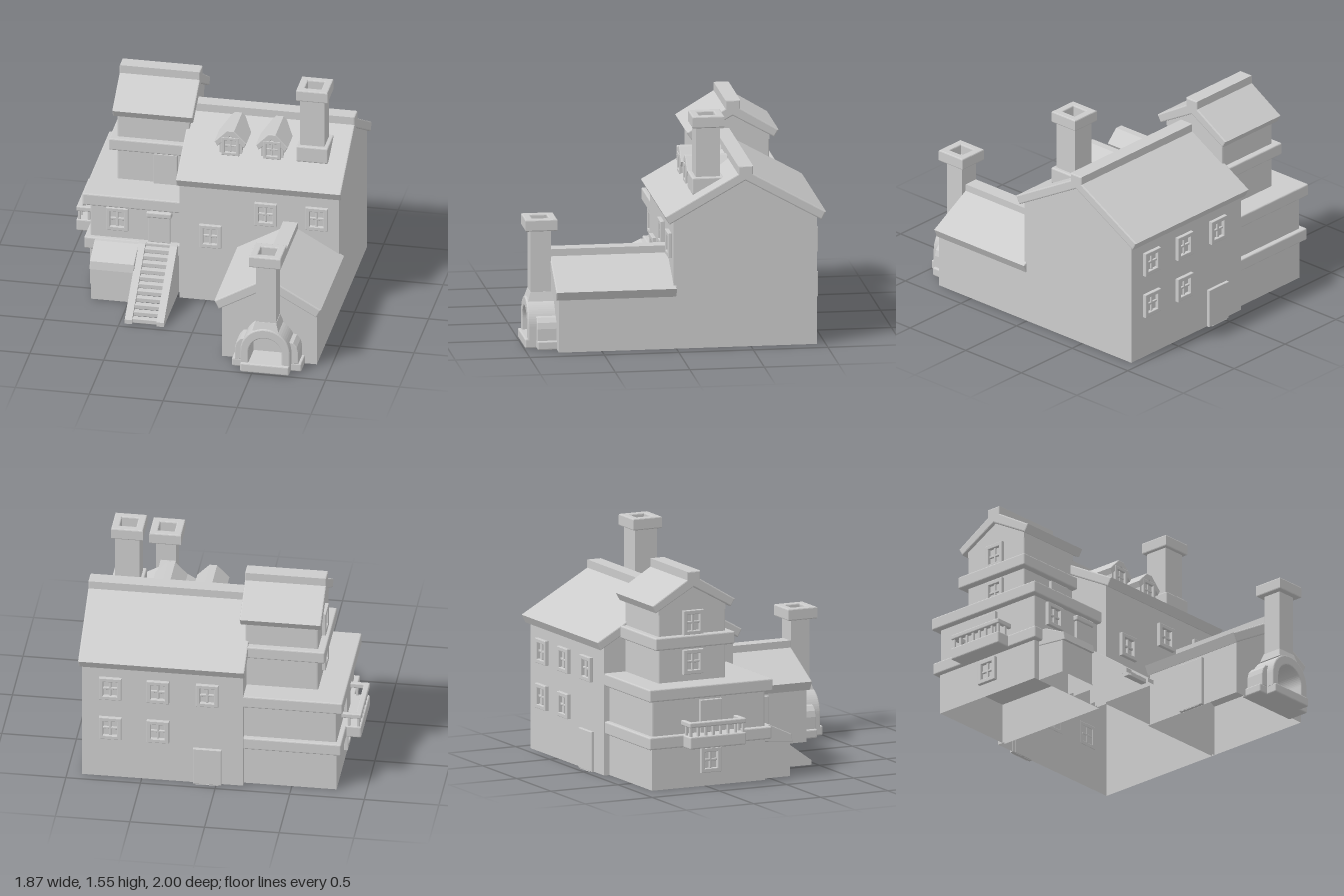
import * as THREE from 'three';
import { RoundedBoxGeometry } from 'three/addons/geometries/RoundedBoxGeometry.js';

const mat = new THREE.MeshStandardMaterial({ color: 0xcccccc, flatShading: true, side: THREE.DoubleSide });

export function createModel() {
  const root = new THREE.Group();
  root.name = 'house';

  const add = (name, geo, parent = root) => {
    const m = new THREE.Mesh(geo, mat);
    m.name = name;
    parent.add(m);
    return m;
  };
  // Softly rounded box given by its limits
  const box = (name, x0, x1, y0, y1, z0, z1, parent = root, r = 0.01) => {
    const w = x1 - x0, h = y1 - y0, d = z1 - z0;
    const g = new RoundedBoxGeometry(w, h, d, 2, Math.min(r, w / 4, h / 4, d / 4));
    return add(name, g.translate((x0 + x1) / 2, (y0 + y1) / 2, (z0 + z1) / 2), parent);
  };
  const poly = pts => new THREE.Shape(pts.map(p => new THREE.Vector2(...p)));
  const mirrored = half => [...half, ...half.filter(p => p[0] > 0).reverse().map(([u, y]) => [-u, y])];
  const rect = (x0, x1, y0, y1) => poly([[x0, y0], [x1, y0], [x1, y1], [x0, y1]]);
  const extrude = (shape, depth, bevel = 0) => new THREE.ExtrudeGeometry(shape, {
    depth: depth - 2 * bevel, bevelEnabled: bevel > 0, bevelSize: bevel, bevelThickness: bevel,
    bevelOffset: -bevel, bevelSegments: 2, curveSegments: 16,
  }).translate(0, 0, bevel);
  // Drops the faces lying on the ground, so the walls are hollow from below
  const openBottom = geo => {
    const src = geo.index ? geo.toNonIndexed() : geo, p = src.attributes.position, keep = [];
    for (let i = 0; i < p.count; i += 3) {
      if (Math.max(p.getY(i), p.getY(i + 1), p.getY(i + 2)) < 1e-4) continue;
      for (let j = i; j < i + 3; j++) keep.push(p.getX(j), p.getY(j), p.getZ(j));
    }
    const g = new THREE.BufferGeometry();
    g.setAttribute('position', new THREE.Float32BufferAttribute(keep, 3));
    g.computeVertexNormals();
    return g;
  };
  const gable = (half, y0, eave, peak) => poly(mirrored([[half, y0], [half, eave], [0, peak]]));
  // Chevron roof with a square ridge cap; rows are [tip, under tip, underside peak, shoulder, cap]
  const roofShape = (half, tipY, lowY, under, shoulder, cap) => poly([
    [0, under], [half - 0.03, lowY], [half, tipY], [0.05, shoulder], [0.05, cap],
    [-0.05, cap], [-0.05, shoulder], [-half, tipY], [-half + 0.03, lowY]]);
  // Turns a profile extruded along z so it runs along x
  const alongX = (geo, x0, z) => geo.rotateY(Math.PI / 2).translate(x0, 0, z);

  // Four-pane window facing local +z
  const windowAt = (name, x, y, z, rot = 0, s = 1) => {
    const g = new THREE.Group();
    g.name = name;
    const ring = rect(-0.075, 0.075, -0.083, 0.083);
    ring.holes.push(rect(-0.047, 0.047, -0.055, 0.055));
    add('windowFrame', extrude(ring, 0.028, 0.004), g);
    box('windowUpright', -0.008, 0.008, -0.056, 0.056, 0, 0.016, g);
    box('windowCrossbar', -0.048, 0.048, -0.008, 0.008, 0, 0.016, g);
    g.position.set(x, y, z);
    g.rotation.y = rot;
    g.scale.set(s, s, 1);
    root.add(g);
  };
  // Framed door facing local +z
  const doorAt = (name, x, y, z, w, h, rot = 0) => {
    const g = new THREE.Group();
    g.name = name;
    const ring = rect(-w / 2, w / 2, 0, h);
    ring.holes.push(rect(-w / 2 + 0.022, w / 2 - 0.022, 0.002, h - 0.022));
    add('doorFrame', extrude(ring, 0.025, 0.004), g);
    box('doorPanel', -w / 2 + 0.02, w / 2 - 0.02, 0, h - 0.02, -0.005, 0.01, g);
    g.position.set(x, y, z);
    g.rotation.y = rot;
    root.add(g);
  };
  // Hollow square tube standing upright
  const tube = (name, x, z, half, hole, y0, y1, bevel = 0.008) => {
    const s = rect(-half, half, -half, half);
    s.holes.push(rect(-hole, hole, -hole, hole));
    add(name, extrude(s, y1 - y0, bevel).rotateX(-Math.PI / 2).translate(x, y0, z));
  };
  const { PI } = Math, left = -PI / 2;

  // Main house
  add('mainWalls', openBottom(alongX(extrude(gable(0.48, 0, 0.87, 1.15), 1.08), -0.18, -0.46)));
  add('mainRoof', alongX(extrude(roofShape(0.54, 0.905, 0.85, 1.135, 1.18, 1.235), 1.115, 0.008), -0.195, -0.46));
  for (const [x, y] of [[0.03, 0.485], [0.405, 0.685], [0.75, 0.685]]) windowAt('frontWindow', x, y, 0.018);
  for (const [x, y] of [[0.71, 0.685], [0.39, 0.685], [0.06, 0.685], [0.71, 0.38], [0.39, 0.38]])
    windowAt('backWindow', x, y, -0.938, PI);
  doorAt('backDoor', 0.06, 0, -0.938, 0.19, 0.27, PI);

  // Dormers
  for (const x of [0.135, 0.415]) {
    add('dormerWalls', extrude(gable(0.075, 0.98, 1.1, 1.17), 0.27).translate(x, 0, -0.41));
    add('dormerRoof', extrude(poly([[0, 1.16], [0.09, 1.08], [0.108, 1.115], [0.025, 1.2],
      [-0.025, 1.2], [-0.108, 1.115], [-0.09, 1.08]]), 0.285, 0.005).translate(x, 0, -0.41));
    windowAt('dormerWindow', x, 1.085, -0.15, 0, 0.8);
  }

  // Roof chimney
  box('chimneyBase', 0.58, 0.795, 1.02, 1.135, -0.335, -0.12);
  tube('chimneyShaft', 0.685, -0.23, 0.082, 0.055, 1.1, 1.49);
  tube('chimneyCap', 0.685, -0.23, 0.107, 0.055, 1.47, 1.55);

  // Two-storey side wing
  add('wingLowerWalls', openBottom(new THREE.BoxGeometry(0.64, 0.3, 0.84).translate(-0.48, 0.15, -0.48)));
  box('wingBand', -0.835, -0.17, 0.28, 0.365, -0.935, -0.025);
  box('wingUpperWalls', -0.8, -0.17, 0.35, 0.63, -0.9, -0.06);
  box('wingRoofSlab', -0.845, -0.17, 0.605, 0.69, -0.94, -0.02);
  windowAt('wingFrontWindow', -0.615, 0.51, -0.062);
  windowAt('wingSideWindow', -0.798, 0.175, -0.47, left);
  doorAt('wingDoor', -0.33, 0.365, -0.062, 0.15, 0.2);
  box('doorLintel', -0.415, -0.245, 0.55, 0.59, -0.07, -0.025);
  doorAt('balconyDoor', -0.798, 0.365, -0.47, 0.16, 0.22, left);

  // Balcony
  box('balconyFloor', -0.935, -0.8, 0.28, 0.365, -0.685, -0.265);
  box('balconyRail', -0.935, -0.895, 0.425, 0.46, -0.685, -0.265);
  for (const z of [-0.685, -0.295]) box('balconySideRail', -0.935, -0.8, 0.425, 0.46, z, z + 0.03);
  for (let i = 0; i < 8; i++) {
    const z = -0.67 + i * 0.0557;
    box('baluster', -0.924, -0.906, 0.36, 0.43, z - 0.009, z + 0.009);
  }
  for (const z of [-0.67, -0.28]) box('sideBaluster', -0.86, -0.842, 0.36, 0.43, z - 0.009, z + 0.009);

  // Tower
  box('towerWalls', -0.66, -0.17, 0.66, 1.2, -0.78, -0.28);
  add('towerGable', alongX(extrude(gable(0.25, 1.15, 1.19, 1.34), 0.49), -0.66, -0.53));
  box('towerBand', -0.71, -0.17, 0.92, 1.005, -0.825, -0.235);
  add('towerRoof', alongX(extrude(roofShape(0.308, 1.22, 1.17, 1.325, 1.375, 1.432), 0.545, 0.008), -0.685, -0.53));
  for (const y of [0.82, 1.085]) windowAt('towerSideWindow', -0.658, y, -0.53, left);
  doorAt('towerDoor', -0.33, 0.68, -0.282, 0.16, 0.23);

  // Lean-to shed under the front wall
  add('shedWalls', openBottom(new THREE.BoxGeometry(0.3, 0.26, 0.21).translate(-0.605, 0.13, 0.045)));
  add('shedRoof', alongX(extrude(poly([[0.06, 0.25], [0.06, 0.36], [0, 0.36], [-0.16, 0.285],
    [-0.17, 0.23], [-0.14, 0.23]]), 0.3, 0.005), -0.76, 0));

  // Outside staircase
  for (const x of [-0.465, -0.25])
    add('stairSide', openBottom(alongX(extrude(poly([[-0.46, 0], [-0.46, 0.03], [0, 0.365],
      [0.06, 0.365], [0.06, 0]]), 0.05), x, 0)));
  for (let i = 0; i < 11; i++) {
    const z = 0.44 - i * 0.042;
    box('stairTread', -0.42, -0.245, i * 0.031, (i + 1) * 0.031, z - 0.045, z, root, 0.004);
  }

  // Annex
  add('annexWalls', openBottom(extrude(gable(0.32, 0, 0.365, 0.55), 0.79).translate(0.58, 0, 0)));
  add('annexRoof', extrude(roofShape(0.36, 0.415, 0.355, 0.54, 0.592, 0.64), 0.81, 0.008).translate(0.57, 0, 0));
  doorAt('annexDoor', 0.262, 0, 0.4, 0.2, 0.34, left);

  // Bread oven: base, arch, shoulders and chimney
  const ox = 0.585;
  box('ovenBase', 0.35, 0.82, 0, 0.06, 0.76, 0.92);
  box('ovenHearth', 0.42, 0.75, 0, 0.065, 0.76, 0.995);
  const arch = new THREE.Shape();
  arch.moveTo(0.168, 0.055).lineTo(0.168, 0.15).absarc(0, 0.15, 0.168, 0, PI, false);
  arch.lineTo(-0.168, 0.055).lineTo(-0.112, 0.055).lineTo(-0.112, 0.14);
  arch.absarc(0, 0.14, 0.112, PI, 0, true).lineTo(0.112, 0.055).closePath();
  add('ovenArch', extrude(arch, 0.2, 0.008).translate(ox, 0, 0.775));
  for (const s of [-1, 1]) {
    const shoulder = poly([[0.13, 0.055], [0.215, 0.055], [0.215, 0.14], [0.205, 0.18], [0.18, 0.21], [0.13, 0.22]]
      .map(([x, y]) => [s * x, y]));
    add('ovenShoulder', extrude(shoulder, 0.14, 0.006).translate(ox, 0, 0.78));
  }
  const flare = new THREE.CylinderGeometry(0.1, 0.125, 0.06, 4).rotateY(PI / 4);
  add('ovenChimneyFoot', flare.translate(ox, 0.33, 0.875));
  tube('ovenChimneyShaft', ox, 0.875, 0.068, 0.05, 0.3, 0.79);
  tube('ovenChimneyCap', ox, 0.875, 0.107, 0.055, 0.78, 0.86);

  return root;
}
